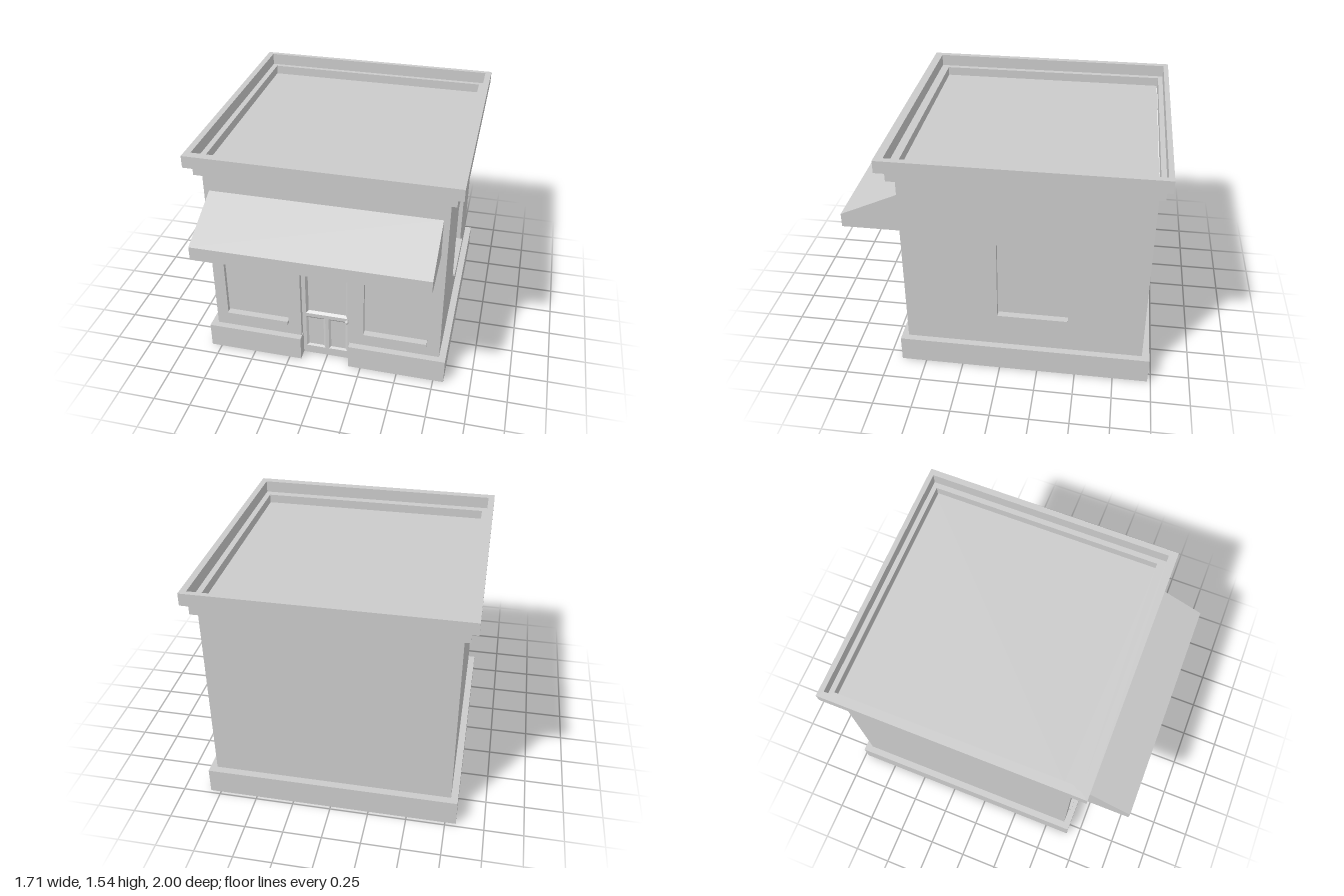
import * as THREE from 'three';

const mat = new THREE.MeshStandardMaterial({ color: 0xcccccc, flatShading: true });
const smoothMat = new THREE.MeshStandardMaterial({ color: 0xcccccc });
const thinMat = new THREE.MeshStandardMaterial({ color: 0xcccccc, flatShading: true, side: THREE.DoubleSide });

// Closed outline from [x, y] points
const outline = (pts, Type = THREE.Shape) => new Type(pts.map(([x, y]) => new THREE.Vector2(x, y)));
const rect = (x0, x1, y0, y1) => [[x0, y0], [x1, y0], [x1, y1], [x0, y1]];

function extrude(pts, holes, depth) {
  const shape = outline(pts);
  holes.forEach((h) => shape.holes.push(outline(h, THREE.Path)));
  return new THREE.ExtrudeGeometry(shape, { depth, bevelEnabled: false });
}

// Box given by its limits
function box(x0, x1, y0, y1, z0, z1) {
  return new THREE.BoxGeometry(x1 - x0, y1 - y0, z1 - z0)
    .translate((x0 + x1) / 2, (y0 + y1) / 2, (z0 + z1) / 2);
}

// Rectangular frame lying flat: outer and inner limits are [x0, x1, z0, z1]
function ring(outer, inner, y0, y1) {
  const flip = ([x0, x1, z0, z1]) => rect(x0, x1, -z1, -z0);
  return extrude(flip(outer), [flip(inner)], y1 - y0).rotateX(-Math.PI / 2).translate(0, y0, 0);
}

// Flat faces from quads of corners
function quads(list) {
  const pos = [];
  for (const [a, b, c, d] of list) pos.push(...a, ...b, ...c, ...a, ...c, ...d);
  const g = new THREE.BufferGeometry();
  g.setAttribute('position', new THREE.Float32BufferAttribute(pos, 3));
  g.computeVertexNormals();
  return g;
}

// Sunken panel with sloping borders
function sunkenPanel([x0, x1, y0, y1], bevel, z, depth) {
  const outer = rect(x0, x1, y0, y1).map((p) => [...p, z]);
  const inner = rect(x0 + bevel, x1 - bevel, y0 + bevel, y1 - bevel).map((p) => [...p, z - depth]);
  const faces = [inner];
  for (let i = 0; i < 4; i++) {
    const j = (i + 1) % 4;
    faces.push([outer[i], outer[j], inner[j], inner[i]]);
  }
  return quads(faces);
}

export function createModel() {
  const model = new THREE.Group();
  model.name = 'shop';
  const add = (name, geometry, material = mat, parent = model) => {
    const mesh = new THREE.Mesh(geometry, material);
    mesh.name = name;
    parent.add(mesh);
    return mesh;
  };

  // Plinth with a notch for the doorway
  const plinth = [[-0.82, -0.665], [-0.168, -0.665], [-0.168, -0.56], [0.166, -0.56],
    [0.166, -0.665], [0.82, -0.665], [0.82, 0.978], [-0.82, 0.978]];
  add('plinth', extrude(plinth, [], 0.175).rotateX(-Math.PI / 2));

  // Core of the building, its top is the flat roof
  add('buildingCore', box(-0.775, 0.745, 0.1, 1.4, -0.93, 0.56));

  // Front wall with doorway and two window openings
  const windows = [[-0.695, -0.26, 0.26, 0.945], [0.26, 0.69, 0.25, 0.945]];
  const frontWall = [[-0.775, 0.1], [-0.172, 0.1], [-0.172, 0.765], [0.17, 0.765],
    [0.17, 0.1], [0.775, 0.1], [0.775, 1.4], [-0.775, 1.4]];
  add('frontWall', extrude(frontWall, windows.map((w) => rect(...w)), 0.06).translate(0, 0, 0.56));

  // Front panes and sills
  for (const [x0, x1, y0, y1] of windows) {
    add('frontWindowPane', box(x0, x1, y0, y1, 0.56, 0.59));
    add('frontWindowSill', box(x0 + 0.003, x1 - 0.003, y0, y0 + 0.028, 0.58, 0.637));
  }

  // Side wall with one window opening, drawn with u = -z
  const sideWall = extrude(rect(-0.56, 0.93, 0.1, 1.4), [rect(-0.018, 0.44, 0.405, 0.96)], 0.03);
  add('sideWall', sideWall.rotateY(Math.PI / 2).translate(0.745, 0, 0));
  add('sideWindowSill', box(0.735, 0.79, 0.403, 0.419, -0.44, 0.013));

  // Panelled door
  const door = new THREE.Group();
  door.name = 'door';
  model.add(door);
  const panels = [[-0.145, 0.142, 0.35, 0.722], [-0.145, -0.012, 0.062, 0.322], [0.012, 0.142, 0.062, 0.322]];
  add('doorLeaf', extrude(rect(-0.172, 0.17, 0, 0.765), panels.map((p) => rect(...p)), 0.03).translate(0, 0, 0.556), mat, door);
  panels.forEach((p, i) => add(i ? 'lowerDoorPanel' : 'upperDoorPanel',
    sunkenPanel(p, 0.014, 0.586, i ? 0.01 : 0.018), mat, door));
  add('doorKnobStem', new THREE.CylinderGeometry(0.006, 0.006, 0.03, 12)
    .rotateX(Math.PI / 2).translate(0.143, 0.34, 0.592), smoothMat, door);
  add('doorKnob', new THREE.SphereGeometry(0.013, 16, 12).translate(0.143, 0.34, 0.608), smoothMat, door);

  // Two-step cornice around the roof
  const wall = [-0.775, 0.775, -0.935, 0.615];
  const step = [-0.812, 0.812, -0.967, 0.668];
  add('lowerCornice', ring(step, wall, 1.385, 1.46));
  add('upperCornice', ring([-0.853, 0.853, -1, 0.722], step, 1.46, 1.54));

  // Awning: open thin shell with slope, valance and two side flaps
  const profile = [[0.99, 0.619], [0.99, 1], [1.08, 1], [1.255, 0.619]];
  const [r, l] = [-0.74, 0.737].map((x) => profile.map(([y, z]) => [x, y, z]));
  add('awning', quads([
    [r[1], l[1], l[2], r[2]],
    [r[2], l[2], l[3], r[3]],
    r,
    [...l].reverse(),
  ]), thinMat);

  return model;
}
